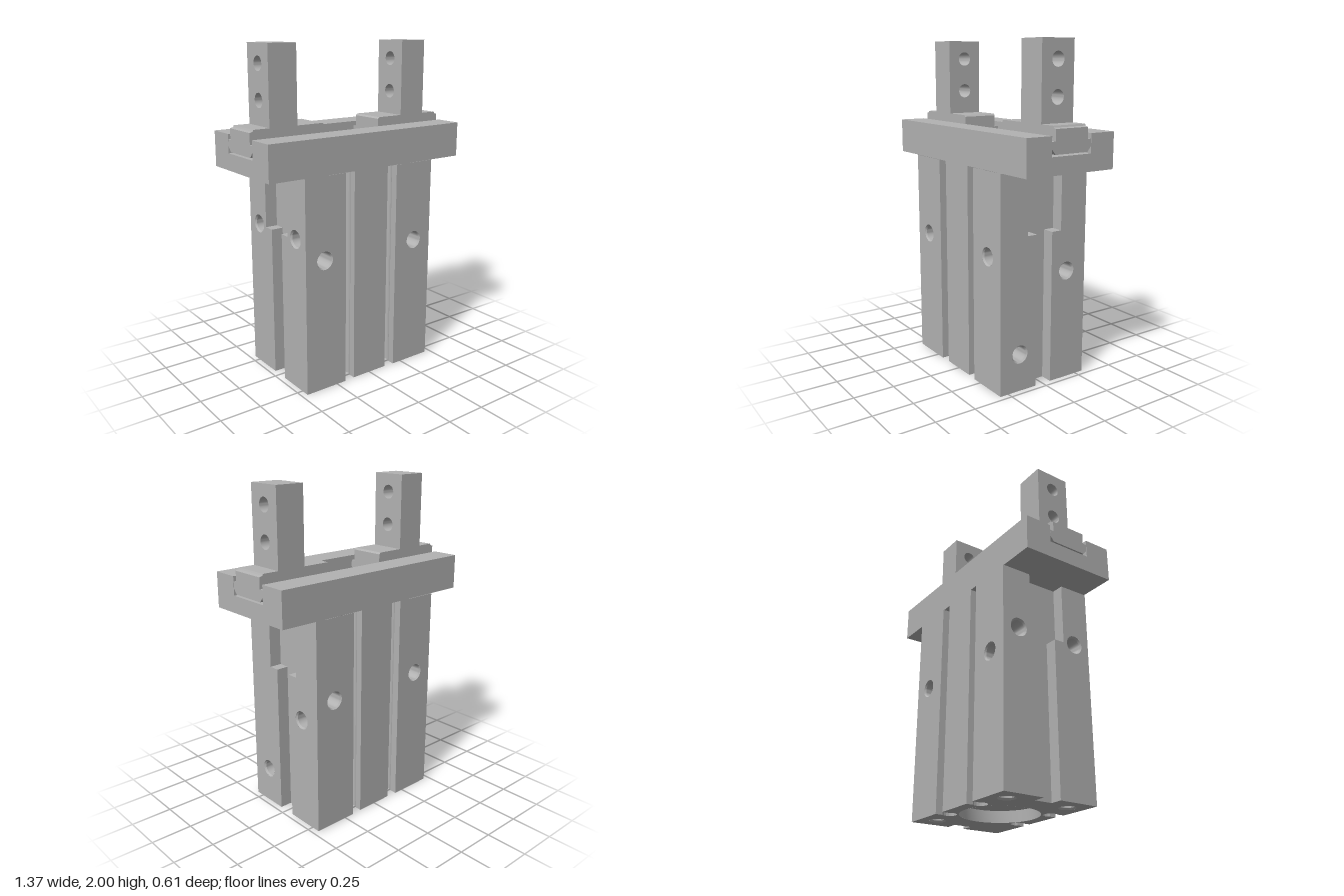
import * as THREE from 'three';
import { toCreasedNormals } from 'three/addons/utils/BufferGeometryUtils.js';

const metal = new THREE.MeshStandardMaterial({ color: 0xb2b2b2, side: THREE.DoubleSide });
metal.name = 'grey metal';

const SPLIT = 0.92, TOP = 1.29, HX = 0.465, HZ = 0.305;
const NARROW = 0.055, WIDE = 0.12, SLOT_FLOOR = 0.39, RIM = 0.055;

function add(parent, name, geometry, x = 0, y = 0, z = 0) {
  const mesh = new THREE.Mesh(geometry, metal);
  mesh.name = name;
  mesh.position.set(x, y, z);
  parent.add(mesh);
  return mesh;
}

function polygon(points, holes = []) {
  const shape = new THREE.Shape(points.map(([a, b]) => new THREE.Vector2(a, b)));
  for (const [a, b, r] of holes) {
    shape.holes.push(new THREE.Path().absarc(a, b, r, 0, Math.PI * 2, true));
  }
  return shape;
}

const rect = (a0, b0, a1, b1) => [[a0, b0], [a1, b0], [a1, b1], [a0, b1]];
const extrude = (shape, depth) =>
  new THREE.ExtrudeGeometry(shape, { depth, bevelEnabled: false, curveSegments: 16 });

// Lining of a drilled hole: profile is [radius, depth] pairs, drilled against the outward normal
function bore(parent, name, position, normal, profile) {
  const pts = profile.map(([r, d]) => new THREE.Vector2(r, -d));
  const geometry = toCreasedNormals(new THREE.LatheGeometry(pts, 32), 0.5);
  const mesh = add(parent, name, geometry, ...position);
  mesh.quaternion.setFromUnitVectors(new THREE.Vector3(0, 1, 0), new THREE.Vector3(...normal));
}
const blind = depth => [[RIM, 0], [0.046, 0.01], [0.046, depth], [0, depth]];

// Body outline in x,z with four keyhole grooves and two side slots of half width s
function outline(s) {
  const q = [[0.122, 0.3]];
  const start = Math.atan2(0.026, -0.033), end = Math.atan2(0.026, 0.033) + Math.PI * 2;
  for (let i = 0; i <= 12; i++) {
    const a = start + (end - start) * i / 12;
    q.push([0.155 + 0.042 * Math.cos(a), 0.235 + 0.042 * Math.sin(a)]);
  }
  q.push([0.188, HZ], [HX, HZ], [HX, s], [SLOT_FLOOR, s]);
  const half = [...q, ...q.map(([x, z]) => [x, -z]).reverse()];
  return [...half, ...half.map(([x, z]) => [-x, -z])];
}

// Vertical walls along the outline; the outer side faces are made separately
function walls(parent, s, y0, y1) {
  const points = outline(s);
  points.forEach(([ax, az], i) => {
    const [bx, bz] = points[(i + 1) % points.length];
    if (Math.abs(ax) === HX && ax === bx) return;
    const length = Math.hypot(bx - ax, bz - az);
    const drilled = y0 === 0 && Math.abs(az) === HZ && az === bz;
    const holes = drilled ? [[Math.abs(0.335 - Math.abs(ax)), 0.8, RIM]] : [];
    const wall = add(parent, 'bodyWall',
      new THREE.ShapeGeometry(polygon(rect(0, y0, length, y1), holes), 24), ax, 0, az);
    wall.rotation.y = Math.atan2(az - bz, bx - ax);
  });
}

function createBody() {
  const body = new THREE.Group();
  body.name = 'body';
  walls(body, NARROW, 0, SPLIT);
  walls(body, WIDE, SPLIT, TOP);

  // Outer side faces, stepped around the slot, with blind ports [z, y]
  const ports = { '1': [[-0.165, 0.67], [0.17, 0.225]], '-1': [[-0.2, 0.925], [0.2, 0.925]] };
  for (const side of [1, -1]) {
    for (const e of [1, -1]) {
      const face = [[NARROW, 0], [HZ, 0], [HZ, TOP], [WIDE, TOP], [WIDE, SPLIT], [NARROW, SPLIT]]
        .map(([u, y]) => [u * e, y]);
      const holes = ports[side].filter(([z]) => -z * side * e > 0).map(([z, y]) => [-z * side, y, RIM]);
      add(body, 'sideFace', new THREE.ShapeGeometry(polygon(face, holes), 24), side * HX)
        .rotation.y = side * Math.PI / 2;
      // Ledge where the slot widens
      add(body, 'slotLedge', new THREE.PlaneGeometry(HX - SLOT_FLOOR, WIDE - NARROW),
        side * (HX + SLOT_FLOOR) / 2, SPLIT, e * (WIDE + NARROW) / 2).rotation.x = -Math.PI / 2;
    }
    for (const [z, y] of ports[side]) {
      bore(body, 'sidePort', [side * HX, y, z], [side, 0, 0], blind(0.12));
    }
    // Through holes from front to back
    bore(body, 'throughHole', [side * 0.335, 0.8, HZ], [0, 0, 1],
      [[RIM, 0], [0.048, 0.01], [0.048, 0.6], [RIM, 0.61]]);
  }

  // Underside with round recess and bolt holes
  const bolts = [[0.345, -0.2], [-0.345, -0.2], [-0.345, 0.2]];
  const holes = [[0, 0, 0.23], ...bolts.map(([x, z]) => [x, z, 0.05])];
  add(body, 'underside', new THREE.ShapeGeometry(polygon(outline(NARROW), holes), 32))
    .rotation.x = Math.PI / 2;
  bore(body, 'roundRecess', [0, 0, 0], [0, -1, 0], [[0.23, 0], [0.23, 0.07], [0, 0.07]]);
  for (const [x, z] of bolts) {
    bore(body, 'boltHole', [x, 0, z], [0, -1, 0], [[0.05, 0], [0.042, 0.01], [0.042, 0.14], [0, 0.14]]);
  }
  return body;
}

function createRail() {
  const rail = new THREE.Group();
  rail.name = 'rail';
  // Channel floor with two pockets
  const floor = polygon(rect(-0.685, -0.135, 0.685, 0.135));
  for (const s of [1, -1]) {
    floor.holes.push(polygon(rect(s * 0.03, -0.105, s * 0.3, 0.105)));
    add(rail, 'railSide', new THREE.BoxGeometry(1.37, 0.21, 0.165), 0, 1.395, s * 0.2175);
  }
  add(rail, 'channelFloor', extrude(floor, 0.1), 0, 1.39).rotation.x = Math.PI / 2;
  add(rail, 'pocketFloor', new THREE.PlaneGeometry(0.64, 0.23), 0, 1.33).rotation.x = -Math.PI / 2;
  return rail;
}

function createJaw() {
  const jaw = new THREE.Group();
  jaw.name = 'jaw';
  // Slide held in the channel
  const section = polygon([[-0.11, 1.4], [0.11, 1.4], [0.134, 1.43], [0.134, 1.47], [-0.134, 1.47], [-0.134, 1.43]]);
  add(jaw, 'slide', extrude(section, 0.484), 0.2).rotation.y = Math.PI / 2;
  // Upper part of the slide with eased ends
  const profile = polygon([[0.2, 1.46], [0.684, 1.46], [0.684, 1.535], [0.665, 1.54], [0.66, 1.55], [0.21, 1.55], [0.2, 1.54]]);
  add(jaw, 'slideTop', extrude(profile, 0.22), 0, 0, -0.11);
  // Upright finger with two cross holes
  const finger = polygon(rect(-0.11, 1.54, 0.11, 2), [[0, 1.69, 0.042], [0, 1.89, 0.042]]);
  add(jaw, 'finger', toCreasedNormals(extrude(finger, 0.18), 0.6), 0.38).rotation.y = Math.PI / 2;
  return jaw;
}

export function createModel() {
  const model = new THREE.Group();
  model.name = 'parallelGripper';
  const left = createJaw(), right = createJaw();
  left.name = 'leftJaw';
  right.name = 'rightJaw';
  right.rotation.y = Math.PI;
  model.add(createBody(), createRail(), left, right);
  return model;
}
